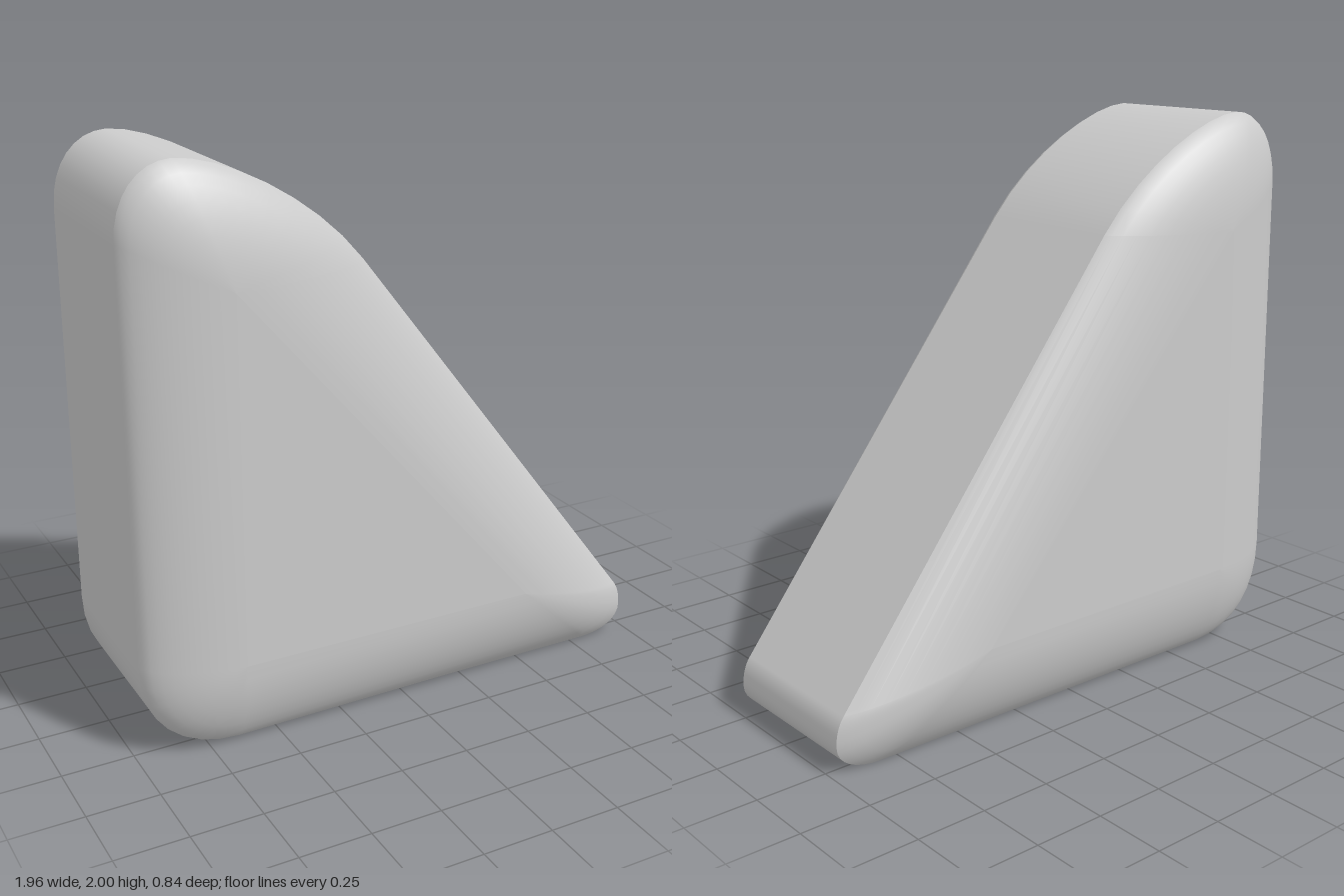
import * as THREE from 'three';

const WALL_Z = 0.29, BULGE = 0.13, STEPS = 9;
const v = (x, y) => new THREE.Vector2(x, y);

// Each rounded corner shrinks to its own apex on the flat side face.
// Curves run counter-clockwise; ease shapes the roundness of the edge.
const corners = [
  { apex: v(-0.65, 0.33), ease: 1.7, curves: [ // heel
    [v(-0.98, 0.35), v(-0.98, 0.13), v(-0.85, 0), v(-0.64, 0)]] },
  { apex: v(0.45, 0.33), ease: 1.2, curves: [ // toe
    [v(0.81, 0), v(0.91, 0), v(0.98, 0.04), v(0.98, 0.1)],
    [v(0.98, 0.1), v(0.98, 0.14), v(0.97, 0.175), v(0.95, 0.2)]] },
  { apex: v(-0.65, 1.6), ease: 1.6, curves: [ // crown
    [v(-0.15, 1.62), v(-0.33, 1.85), v(-0.64, 2), v(-0.79, 2)],
    [v(-0.79, 2), v(-0.9, 2), v(-0.98, 1.9), v(-0.98, 1.76)]] },
];

const outline = corners.flatMap(({ apex, ease, curves }) =>
  curves.flatMap((c, i) => new THREE.CubicBezierCurve(...c).getPoints(8)
    .slice(i ? 1 : 0).map((p) => ({ p, apex, ease }))));

// Outline at bulge u: 0 is the wall edge, +1 / -1 the front / back face
function ring(u, side) {
  return outline.map(({ p, apex, ease }) => {
    const k = Math.sqrt(Math.max(0, 1 - Math.pow(u, ease)));
    const q = apex.clone().lerp(p, k);
    return [q.x, q.y, side * (WALL_Z + BULGE * u)];
  });
}

// Skins closed rings ordered from back to front
function loft(rings) {
  const n = outline.length, index = [];
  for (let i = 0; i < rings.length - 1; i++) {
    for (let j = 0; j < n; j++) {
      const a = i * n + j, b = i * n + (j + 1) % n;
      index.push(a, b, b + n, a, b + n, a + n);
    }
  }
  const geo = new THREE.BufferGeometry();
  geo.setAttribute('position', new THREE.Float32BufferAttribute(rings.flat(2), 3));
  geo.setIndex(index);
  geo.computeVertexNormals();
  return geo;
}

export function createModel() {
  const group = new THREE.Group();
  group.name = 'roundedWedge';
  const material = new THREE.MeshStandardMaterial({ color: 0xcccccc });
  const add = (name, geo) => {
    const mesh = new THREE.Mesh(geo, material);
    mesh.name = name;
    group.add(mesh);
    return mesh;
  };

  // Straight wall around the wedge
  add('wall', loft([ring(0, -1), ring(0, 1)]));

  // Soft edges and flat triangular faces, front and back
  const face = new THREE.ShapeGeometry(new THREE.Shape(corners.map((c) => c.apex)));
  for (const side of [1, -1]) {
    const label = side > 0 ? 'front' : 'back';
    const rings = [];
    for (let i = 0; i <= STEPS; i++) {
      rings.push(ring(Math.sin((i / STEPS) * Math.PI / 2), side));
    }
    if (side < 0) rings.reverse();
    add(label + 'SoftEdge', loft(rings));

    const flat = face.clone();
    if (side < 0) { // turn the triangle to face backwards
      flat.setIndex([...flat.index.array].reverse());
      flat.computeVertexNormals();
    }
    add(label + 'Face', flat).position.z = side * (WALL_Z + BULGE);
  }
  return group;
}
